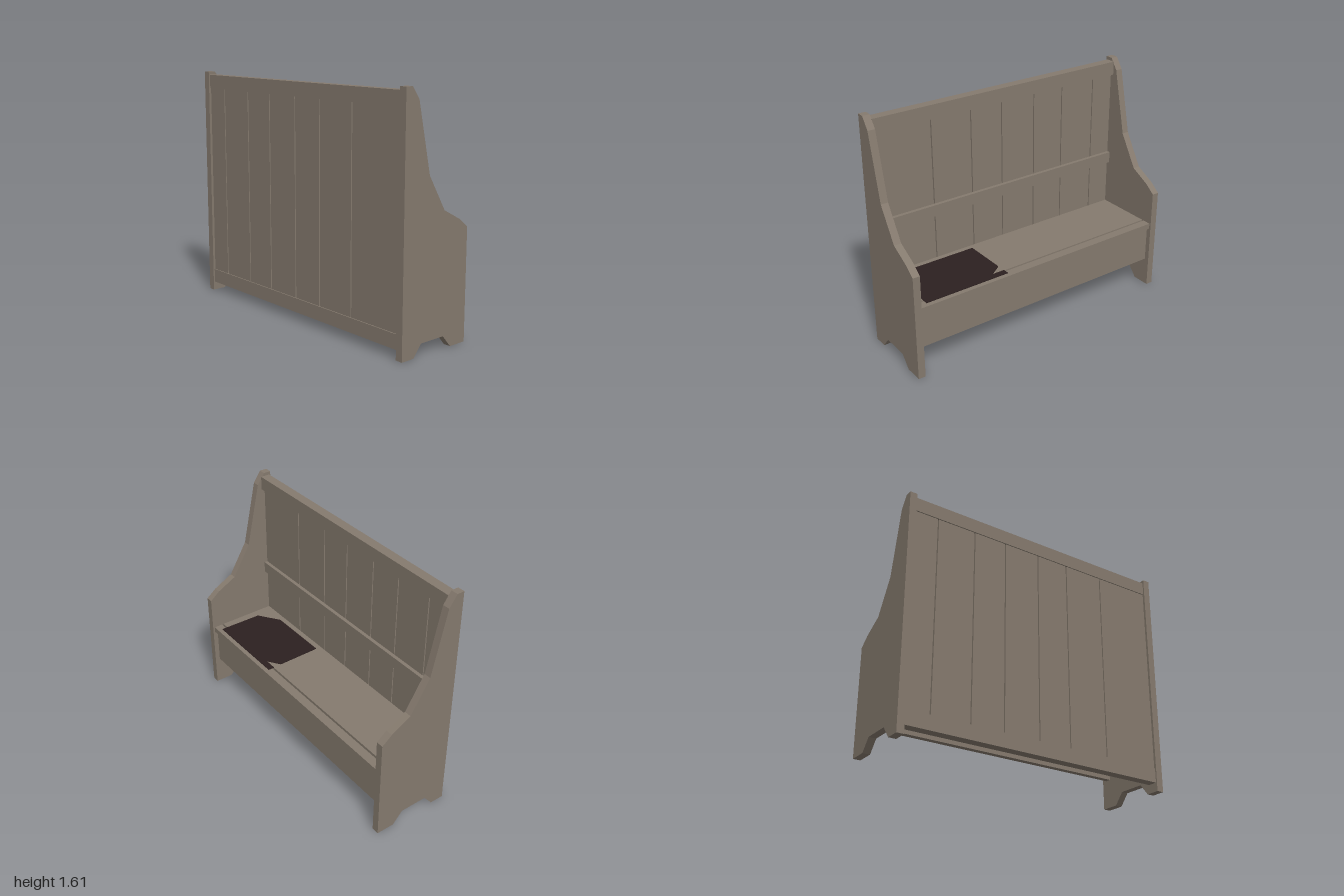
import * as THREE from 'three';

export function createModel() {
  const model = new THREE.Group();
  model.name = 'settle';

  const wood = new THREE.MeshStandardMaterial({ color: 0x857a6e });
  wood.name = 'weathered wood';
  const cloth = new THREE.MeshStandardMaterial({ color: 0x2c2020 });
  cloth.name = 'dark cloth';

  function add(name, geometry, material = wood) {
    const mesh = new THREE.Mesh(geometry, material);
    mesh.name = name;
    model.add(mesh);
    return mesh;
  }

  // Box given by its extents along each axis
  function plank(name, x0, x1, y0, y1, z0, z1) {
    const mesh = add(name, new THREE.BoxGeometry(x1 - x0, y1 - y0, z1 - z0));
    mesh.position.set((x0 + x1) / 2, (y0 + y1) / 2, (z0 + z1) / 2);
  }

  function outline(points) {
    return new THREE.Shape(points.map(([a, b]) => new THREE.Vector2(a, b)));
  }

  // Side panels: tall back, stepped arm, cut-out foot (profile in z, y)
  const side = new THREE.ExtrudeGeometry(outline([
    [0.277, 0], [0.277, 1.612], [0.225, 1.612], [0.17, 1.535], [0.07, 1.09],
    [-0.065, 0.867], [-0.205, 0.793], [-0.275, 0.737], [-0.275, 0],
    [-0.147, 0], [-0.077, 0.08], [0.115, 0.08], [0.18, 0],
  ]), { depth: 0.05, bevelEnabled: false });
  side.rotateY(-Math.PI / 2);
  add('leftSidePanel', side).position.x = 1;
  add('rightSidePanel', side).position.x = -0.95;

  // Backrest boards with narrow gaps
  const joints = [-0.95, -0.782, -0.507, -0.267, -0.002, 0.24, 0.538, 0.95];
  for (let i = 0; i < joints.length - 1; i++) {
    const x0 = joints[i] + (i > 0 ? 0.004 : 0);
    const x1 = joints[i + 1] - (i < joints.length - 2 ? 0.004 : 0);
    plank('backBoard' + (i + 1), x0, x1, 0.1, 1.54, 0.225, 0.26);
  }

  // Backrest rails
  plank('topRail', -0.95, 0.95, 1.495, 1.59, 0.2, 0.267);
  plank('middleRail', -0.95, 0.95, 0.82, 0.9, 0.2, 0.226);
  plank('bottomRail', -0.95, 0.95, 0.06, 0.157, 0.2, 0.267);

  // Seat: front slat, gap, wide board and the apron below
  plank('seatFrontSlat', -0.95, 0.95, 0.46, 0.5, -0.262, -0.2);
  plank('seatBoard', -0.95, 0.95, 0.46, 0.5, -0.186, 0.225);
  plank('apron', -0.95, 0.95, 0.2, 0.46, -0.24, -0.2);

  // Cloth laid flat on the seat (outline in x, z)
  const mat = new THREE.ExtrudeGeometry(outline([
    [0.277, -0.23], [0.89, -0.23], [0.885, 0.08], [0.735, 0.183],
    [0.282, 0.183], [0.28, -0.125], [0.37, -0.187], [0.277, -0.187],
  ]), { depth: 0.005, bevelEnabled: false });
  mat.rotateX(Math.PI / 2);
  add('seatCloth', mat, cloth).position.y = 0.505;

  return model;
}
